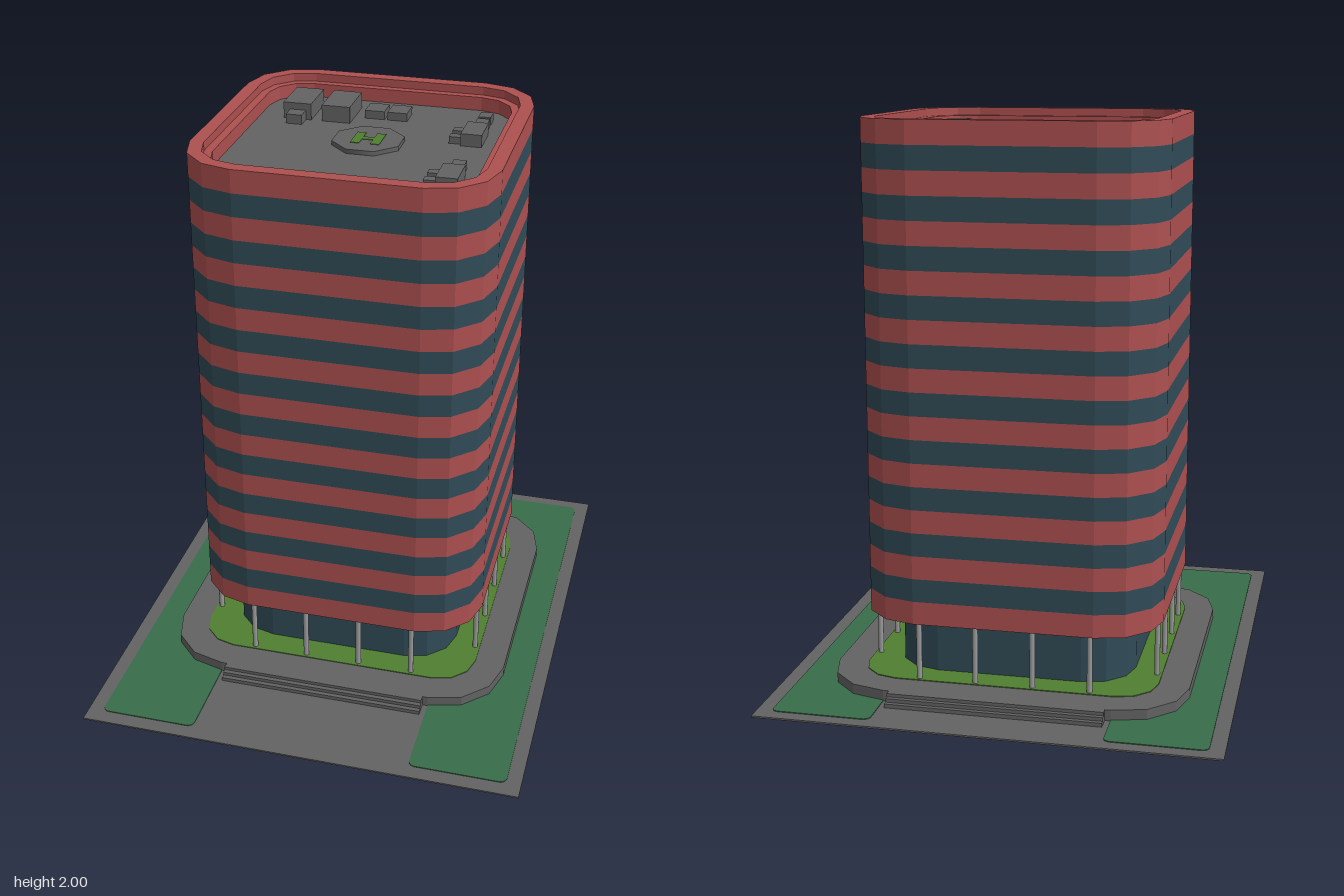
import * as THREE from 'three';

const CZ = -0.085; // depth centre of the tower and podium
const GROUND = 0.006, PODIUM = 0.045, TOWER = 0.255, TOP = 2, BANDS = 21;

const paint = (name, color) => {
  const m = new THREE.MeshStandardMaterial({ color });
  m.name = name;
  return m;
};

// Square outline with each corner cut into three facets
function facetedSquare(half, r, Type = THREE.Shape) {
  const pts = [];
  for (let q = 0; q < 4; q++) {
    const a0 = q * Math.PI / 2;
    const cx = (half - r) * (q === 0 || q === 3 ? 1 : -1);
    const cy = (half - r) * (q < 2 ? 1 : -1);
    for (let i = 0; i <= 3; i++) {
      const a = a0 + i * Math.PI / 6;
      pts.push(new THREE.Vector2(cx + r * Math.cos(a), cy + r * Math.sin(a)));
    }
  }
  return new Type(pts);
}

// Rounded rectangle for the lawns
function roundedRect(w, d, r) {
  const s = new THREE.Shape(), x = w / 2, y = d / 2;
  s.absarc(x - r, y - r, r, 0, Math.PI / 2);
  s.absarc(-x + r, y - r, r, Math.PI / 2, Math.PI);
  s.absarc(-x + r, -y + r, r, Math.PI, Math.PI * 1.5);
  s.absarc(x - r, -y + r, r, Math.PI * 1.5, Math.PI * 2);
  return s;
}

export function createModel() {
  const group = new THREE.Group();
  group.name = 'officeTower';

  const red = paint('red cladding', 0xae5050);
  const glass = paint('blue glass', 0x304b57);
  const grey = paint('grey paving', 0x636363);
  const steel = paint('light steel', 0x9c9c9c);
  const lawnGreen = paint('dark lawn', 0x386c4a);
  const grassGreen = paint('bright grass', 0x4f7f30);

  const add = (name, geo, mat, x = 0, y = 0, z = 0) => {
    const m = new THREE.Mesh(geo, mat);
    m.name = name;
    m.position.set(x, y, z);
    group.add(m);
    return m;
  };
  // Upright slab of a plan outline between two heights
  const slab = (name, shape, y0, y1, mat, x = 0, z = CZ) => {
    const geo = new THREE.ExtrudeGeometry(shape, { depth: y1 - y0, bevelEnabled: false, curveSegments: 4 });
    geo.rotateX(-Math.PI / 2);
    return add(name, geo, mat, x, y0, z);
  };
  // Box from its plan edges and heights
  const block = (name, x0, x1, z0, z1, y0, y1, mat) =>
    add(name, new THREE.BoxGeometry(x1 - x0, y1 - y0, z1 - z0), mat,
      (x0 + x1) / 2, (y0 + y1) / 2, (z0 + z1) / 2);
  const ring = (half, r, innerHalf, innerR) => {
    const s = facetedSquare(half, r);
    s.holes.push(facetedSquare(innerHalf, innerR, THREE.Path));
    return s;
  };

  // Site plate and lawns
  block('sitePlate', -0.803, 0.803, -0.937, 0.937, 0, GROUND, grey);
  for (const s of [-1, 1])
    slab('lawn', roundedRect(0.35, 1.77, 0.025), GROUND, GROUND + 0.003, lawnGreen, s * 0.575, -0.003);

  // Podium with steps at front and back
  slab('podium', facetedSquare(0.64, 0.24), GROUND, PODIUM, grey);
  [[0.663, PODIUM], [0.679, 0.033], [0.695, 0.02]].forEach(([reach, h], i) => {
    const from = i ? 0.663 + (i - 1) * 0.016 : 0.64;
    block('frontStep', -0.38, 0.38, CZ + from, CZ + reach, GROUND, h, grey);
    block('backStep', -0.38, 0.38, CZ - reach, CZ - from, GROUND, h, grey);
  });
  slab('plantingBed', facetedSquare(0.53, 0.14), PODIUM, PODIUM + 0.003, grassGreen);

  // Glazed lobby and the columns around it
  slab('lobby', facetedSquare(0.43, 0.17), PODIUM, TOWER, glass);
  const columnGeo = new THREE.CylinderGeometry(0.01, 0.01, TOWER - PODIUM, 10);
  const columnY = (TOWER + PODIUM) / 2;
  for (const s of [-1, 1])
    for (const t of [-0.305, -0.102, 0.102, 0.305]) {
      add('column', columnGeo, steel, t, columnY, CZ + s * 0.512);
      add('column', columnGeo, steel, s * 0.512, columnY, CZ + t);
    }

  // Alternating storeys, the last one being the hollow parapet
  const step = (TOP - TOWER) / BANDS;
  for (let i = 0; i < BANDS - 1; i++) {
    const y = TOWER + i * step;
    slab(i % 2 ? 'windowBand' : 'claddingBand', facetedSquare(0.535, 0.215), y, y + step, i % 2 ? glass : red);
  }
  const roof = TOP - step;
  slab('parapet', ring(0.535, 0.215, 0.485, 0.165), roof, TOP, red);
  slab('parapetLedge', ring(0.485, 0.165, 0.455, 0.135), roof, TOP - 0.03, red);
  const deck = roof + 0.003;
  slab('roofDeck', facetedSquare(0.456, 0.136), roof, deck, grey);

  // Landing pad with its painted marking
  const padZ = -0.107, padTop = deck + 0.016;
  const padGeo = new THREE.CylinderGeometry(0.13, 0.13, 0.016, 8);
  padGeo.rotateY(Math.PI / 8);
  add('landingPad', padGeo, grey, 0, deck + 0.008, padZ).material.flatShading = false;
  for (const s of [-1, 1])
    block('padMarkBar', s * 0.036 - 0.016, s * 0.036 + 0.016, padZ - 0.053, padZ + 0.053, padTop, padTop + 0.002, grassGreen);
  block('padMarkLink', -0.02, 0.02, padZ - 0.012, padZ + 0.012, padTop, padTop + 0.002, grassGreen);

  // Rooftop plant: x0, x1, z0, z1, height
  const plant = [
    [-0.363, -0.259, -0.458, -0.284, 0.06], [-0.338, -0.279, -0.284, -0.229, 0.035],
    [-0.219, -0.114, -0.458, -0.284, 0.06],
    [-0.075, -0.002, -0.438, -0.353, 0.03], [0.01, 0.082, -0.438, -0.353, 0.03],
    [0.338, 0.383, -0.443, -0.388, 0.03], [0.338, 0.383, -0.373, -0.318, 0.03],
    [0.338, 0.383, 0.05, 0.105, 0.03],
  ];
  for (const z of [-0.289, 0.129])
    plant.push([0.318, 0.393, z, z + 0.13, 0.045],
      [0.274, 0.318, z + 0.015, z + 0.05, 0.025], [0.274, 0.318, z + 0.08, z + 0.115, 0.025]);
  for (const [x0, x1, z0, z1, h] of plant)
    block('rooftopUnit', x0, x1, z0, z1, deck, deck + h, grey);

  return group;
}
